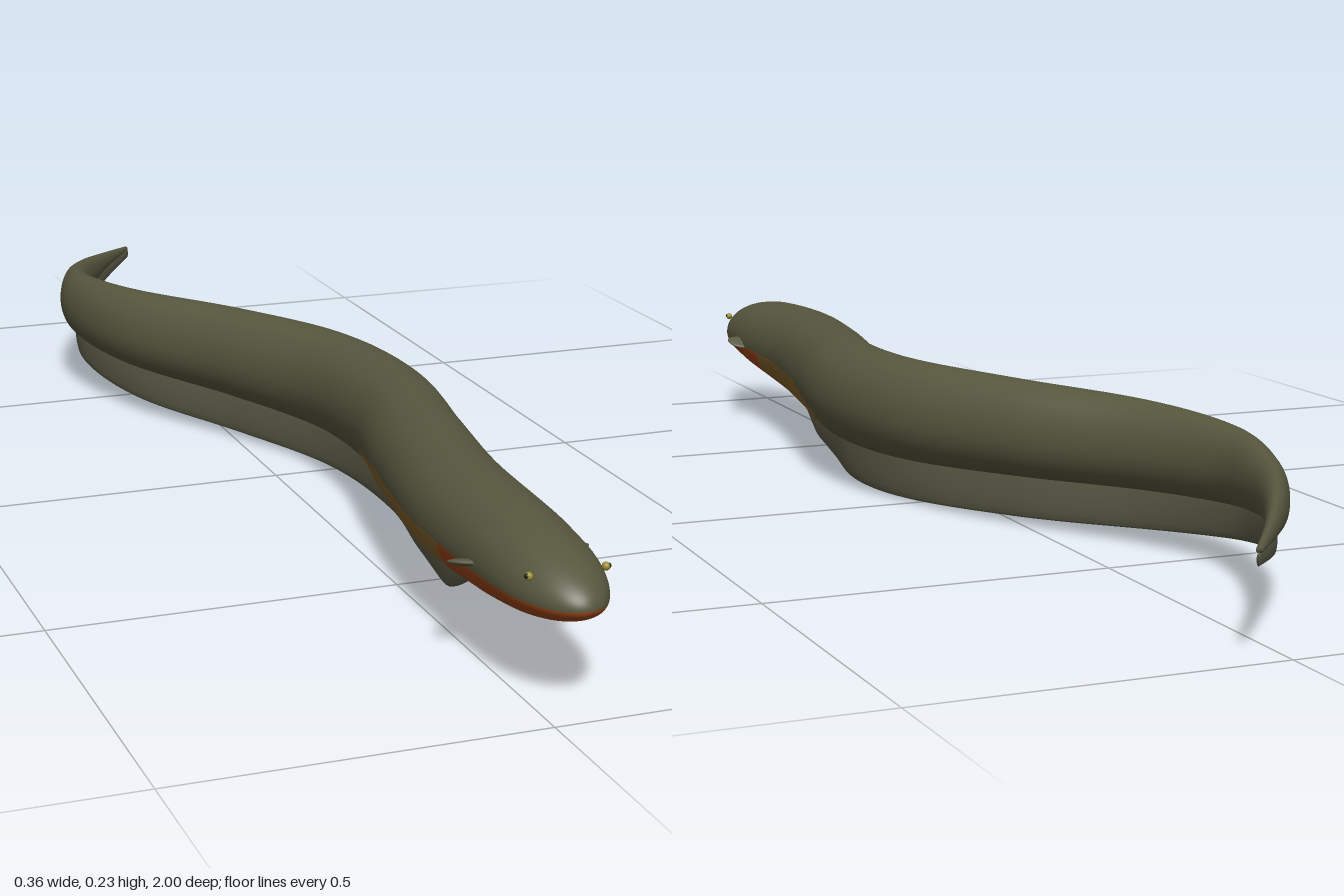
import * as THREE from 'three';

// Smooth interpolation through [z, value] points listed from snout (+z) to tail (-z)
function profile(pts) {
  const slope = (i) => {
    const a = pts[Math.max(i - 1, 0)], b = pts[Math.min(i + 1, pts.length - 1)];
    return (b[1] - a[1]) / (b[0] - a[0]);
  };
  return (z) => {
    let i = 0;
    while (i < pts.length - 2 && z < pts[i + 1][0]) i++;
    const [z0, v0] = pts[i], [z1, v1] = pts[i + 1];
    const h = z1 - z0, t = THREE.MathUtils.clamp((z - z0) / h, 0, 1), s = 1 - t;
    return v0 * (1 + 2 * t) * s * s + slope(i) * h * t * s * s
      + v1 * t * t * (3 - 2 * t) - slope(i + 1) * h * t * t * s;
  };
}

const spineX = profile([[1, 0.04], [0.8, 0.042], [0.6, 0.048], [0.4, 0.078], [0.2, 0.111], [0, 0.092],
  [-0.2, 0.005], [-0.4, -0.106], [-0.57, -0.149], [-0.7, -0.13], [-0.8, -0.087], [-0.9, -0.025], [-1, 0.05]]);
const halfWidth = profile([[1, 0.064], [0.9, 0.067], [0.8, 0.072], [0.6, 0.073], [0.2, 0.068], [0, 0.061],
  [-0.2, 0.054], [-0.4, 0.046], [-0.57, 0.035], [-0.7, 0.026], [-0.8, 0.018], [-0.9, 0.01], [-1, 0.004]]);
const topY = profile([[1, 0.192], [0.9, 0.202], [0.8, 0.214], [0.6, 0.222], [0.3, 0.227], [0, 0.225],
  [-0.2, 0.22], [-0.4, 0.212], [-0.6, 0.199], [-0.8, 0.173], [-0.9, 0.157], [-1, 0.142]]);
const bottomY = profile([[1, 0.11], [0.9, 0.102], [0.8, 0.088], [0.6, 0.071], [0.2, 0.066], [0, 0.069],
  [-0.2, 0.075], [-0.4, 0.083], [-0.6, 0.095], [-0.8, 0.113], [-0.9, 0.126], [-1, 0.135]]);
const finY = profile([[0.7, 0.076], [0.66, 0.062], [0.6, 0.03], [0.55, 0.011], [0.48, 0.007], [0.2, 0.001],
  [0, 0.006], [-0.3, 0.018], [-0.5, 0.036], [-0.7, 0.063], [-0.85, 0.092], [-1, 0.12]]);
const midY = (z) => THREE.MathUtils.lerp(0.138, 0.144, THREE.MathUtils.smoothstep(z, -1, -0.5));

// Sideways direction at right angles to the spine
function sideways(z) {
  const e = 0.01, a = Math.min(z + e, 1), b = Math.max(z - e, -1);
  return new THREE.Vector2(1, -(spineX(a) - spineX(b)) / (a - b)).normalize();
}

// Loft closed rings of (side offset, y) along the spine; pick(z, angle) sorts faces into lists
function loft(zs, sides, section, pick, lists) {
  const pos = [], faces = Array.from({ length: lists }, () => []), all = [];
  const angle = (k) => (k / sides) * Math.PI * 2;
  for (const z of zs) {
    const d = sideways(z);
    for (let k = 0; k < sides; k++) {
      const [o, y] = section(z, angle(k));
      pos.push(spineX(z) + d.x * o, y, z + d.y * o);
    }
  }
  const add = (z, a, ...f) => { faces[pick(z, a)].push(...f); all.push(...f); };
  for (let i = 0; i < zs.length - 1; i++) {
    for (let k = 0; k < sides; k++) {
      const n = (k + 1) % sides, a = i * sides + k, b = i * sides + n, c = a + sides, e = b + sides;
      add((zs[i] + zs[i + 1]) / 2, angle(k + 0.5), a, c, b, b, c, e);
    }
  }
  // End caps
  const last = (zs.length - 1) * sides;
  for (let k = 1; k < sides - 1; k++) {
    add(zs[0], angle(k), 0, k, k + 1);
    add(zs[zs.length - 1], angle(k), last, last + k + 1, last + k);
  }
  const base = new THREE.BufferGeometry();
  base.setAttribute('position', new THREE.Float32BufferAttribute(pos, 3));
  base.setIndex(all);
  base.computeVertexNormals();
  return faces.map((f) => base.clone().setIndex(f));
}

export function createModel() {
  const group = new THREE.Group();
  const material = (name, color) => {
    const m = new THREE.MeshStandardMaterial({ color });
    m.name = name;
    return m;
  };
  const olive = material('olive skin', 0x57573f);
  const finOlive = material('fin olive', 0x5c5c48);
  const orange = material('throat orange', 0x9a4519);
  const tan = material('belly tan', 0x80602a);
  const yellow = material('eye yellow', 0x9a8a30);
  const black = material('pupil black', 0x14140f);
  const add = (name, geometry, mat, parent = group) => {
    const mesh = new THREE.Mesh(geometry, mat);
    mesh.name = name;
    parent.add(mesh);
    return mesh;
  };

  // Body: rounded snout, rings packed closer at the head
  const zs = Array.from({ length: 181 }, (_, i) => 0.9995 - 1.9945 * Math.pow(i / 180, 1.35));
  const bodySection = (z, a) => {
    const d = Math.min((1 - z) / 0.13, 1), cap = Math.sqrt(1 - (1 - d) ** 2);
    const mid = midY(z), s = Math.sin(a);
    const h = s > 0 ? topY(z) - mid : mid - bottomY(z);
    return [halfWidth(z) * cap * Math.cos(a), mid + h * cap * s];
  };
  const bodyPick = (z, a) => {
    const s = Math.sin(a);
    if (z > 0.7) return s < -0.12 ? 1 : 0;
    const fade = THREE.MathUtils.clamp((z - 0.22) / 0.16, 0, 1);
    return z > 0.22 && s < -0.6 + 0.46 * Math.sqrt(fade) ? 2 : 0;
  };
  const [back, throat, belly] = loft(zs, 64, bodySection, bodyPick, 3);
  add('body', back, olive);
  add('throat', throat, orange);
  add('belly', belly, tan);

  // Long thin fin under the body
  const finZs = Array.from({ length: 101 }, (_, i) => 0.7 - 1.7 * (i / 100));
  const finSection = (z, a) => {
    const top = THREE.MathUtils.lerp(bottomY(z), midY(z), 0.35), low = finY(z);
    const thick = THREE.MathUtils.lerp(0.0025, 0.006, THREE.MathUtils.smoothstep(z, -1, -0.3));
    return [thick * Math.cos(a), (top + low) / 2 + ((top - low) / 2) * Math.sin(a)];
  };
  add('analFin', loft(finZs, 16, finSection, () => 0, 1)[0], finOlive);

  // Eyes and small pectoral fins, mirrored about the head
  for (const side of [-1, 1]) {
    const eye = new THREE.Group();
    eye.name = side > 0 ? 'leftEye' : 'rightEye';
    eye.position.set(0.041 + side * 0.0515, 0.173, 0.937);
    add('iris', new THREE.SphereGeometry(0.0055, 16, 12), yellow, eye);
    add('pupil', new THREE.SphereGeometry(0.0035, 12, 10), black, eye).position.set(side * 0.0028, 0.0008, 0.001);
    group.add(eye);

    const fin = add(side > 0 ? 'leftPectoralFin' : 'rightPectoralFin', new THREE.SphereGeometry(1, 24, 16), finOlive);
    fin.scale.set(0.027, 0.005, 0.023);
    fin.position.set(0.042 + side * 0.07, 0.143, 0.797);
    fin.rotation.set(-0.3, 0, side * 0.15);
  }
  return group;
}
